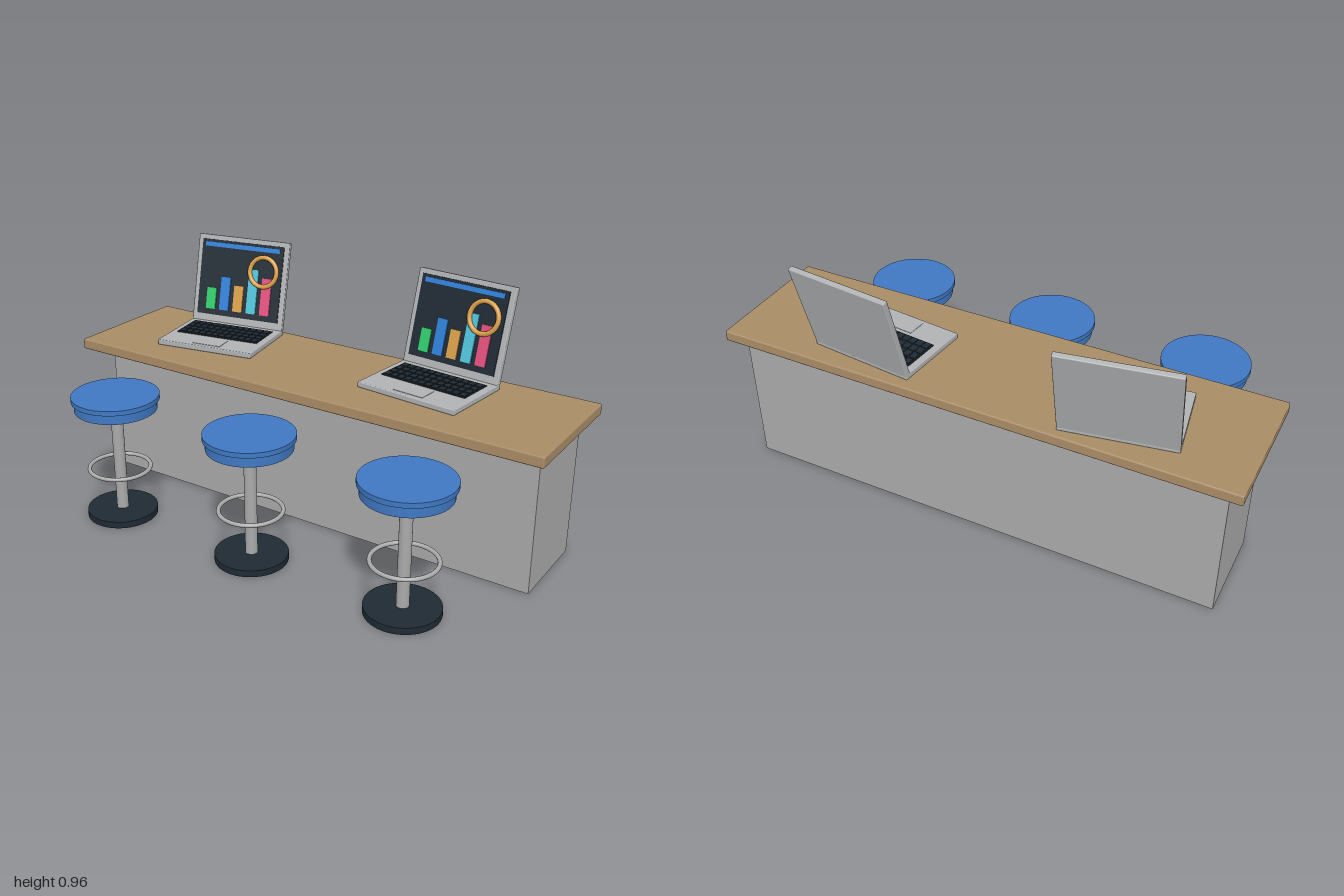
import * as THREE from 'three';
import { RoundedBoxGeometry } from 'three/addons/geometries/RoundedBoxGeometry.js';

const mat = (name, color) => {
  const m = new THREE.MeshStandardMaterial({ color });
  m.name = name;
  return m;
};

export function createModel() {
  const wood = mat('wood', 0xa98c66);
  const grey = mat('grey', 0xaaaaaa);
  const silver = mat('silver', 0xb0b2b4);
  const blue = mat('blue', 0x3f78c2);
  const dark = mat('dark navy', 0x1f2a33);
  const green = mat('green', 0x2fcc6b);
  const chartBlue = mat('chart blue', 0x2f80d8);
  const amber = mat('amber', 0xd99f48);
  const cyan = mat('cyan', 0x4fc3d9);
  const pink = mat('pink', 0xe34f7c);

  const add = (parent, name, geo, material, x = 0, y = 0, z = 0) => {
    const m = new THREE.Mesh(geo, material);
    m.name = name;
    m.position.set(x, y, z);
    parent.add(m);
    return m;
  };
  const box = (w, h, d) => new THREE.BoxGeometry(w, h, d);
  const round = (w, h, d, r) => new RoundedBoxGeometry(w, h, d, 2, r);
  const disc = (r, h, n = 48) => new THREE.CylinderGeometry(r, r, h, n);

  const model = new THREE.Group();
  model.name = 'laptopBar';

  // Counter: solid body with an overhanging top
  add(model, 'counterBody', box(1.89, 0.55, 0.355), grey, 0, 0.275, -0.1975);
  add(model, 'counterTop', round(2, 0.042, 0.527, 0.006), wood, 0, 0.57, -0.1645);

  // Stools
  const makeStool = (x) => {
    const g = new THREE.Group();
    g.name = 'stool';
    g.position.set(x, 0, 0.317);
    add(g, 'stoolFoot', disc(0.137, 0.026), dark, 0, 0.013);
    add(g, 'stoolPole', disc(0.023, 0.43, 24), grey, 0, 0.24);
    const ring = add(g, 'footRing', new THREE.TorusGeometry(0.118, 0.008, 12, 48), grey, 0, 0.2);
    ring.rotation.x = Math.PI / 2;
    add(g, 'seatCushion', disc(0.158, 0.04), blue, 0, 0.468);
    add(g, 'seatTop', disc(0.168, 0.019), blue, 0, 0.4965);
    model.add(g);
  };
  [-0.632, 0, 0.632].forEach(makeStool);

  // Laptops
  const bars = [[green, 0.088], [chartBlue, 0.138], [amber, 0.108], [cyan, 0.183], [pink, 0.152]];
  const makeLaptop = (x, z, degrees) => {
    const g = new THREE.Group();
    g.name = 'laptop';
    g.position.set(x, 0.591, z);
    g.rotation.y = THREE.MathUtils.degToRad(degrees);
    add(g, 'laptopBase', round(0.415, 0.022, 0.31, 0.004), silver, 0, 0.011, 0);
    add(g, 'trackpad', box(0.125, 0.002, 0.075), silver, 0, 0.0225, 0.098);

    // Keyboard tray with rows of keys
    add(g, 'keyboard', box(0.36, 0.004, 0.15), dark, 0, 0.0235, -0.032);
    const cols = 12, rows = 4;
    const keyGeo = box(0.025, 0.003, 0.03);
    for (let r = 0; r < rows; r++)
      for (let c = 0; c < cols; c++)
        add(g, 'key', keyGeo, dark, (c - (cols - 1) / 2) * 0.0295, 0.027, -0.032 + (r - 1.5) * 0.036);

    // Lid leans back from the hinge; its front face is at z = 0.011
    const lid = new THREE.Group();
    lid.name = 'lid';
    lid.position.set(0, 0.014, -0.144);
    lid.rotation.x = THREE.MathUtils.degToRad(-14.5);
    g.add(lid);
    add(lid, 'lidShell', round(0.415, 0.365, 0.022, 0.004), silver, 0, 0.1825, 0);
    add(lid, 'screen', box(0.372, 0.312, 0.004), dark, 0, 0.19, 0.0125);
    add(lid, 'headerBar', box(0.34, 0.018, 0.004), chartBlue, 0, 0.326, 0.0155);
    bars.forEach(([m, h], i) =>
      add(lid, 'chartBar', box(0.043, h, 0.005), m, (i - 2) * 0.062, 0.058 + h / 2, 0.016));
    add(lid, 'chartRing', new THREE.TorusGeometry(0.06, 0.0095, 12, 40), amber, 0.105, 0.235, 0.021);
    model.add(g);
  };
  makeLaptop(-0.524, -0.208, 10);
  makeLaptop(0.424, -0.21, -6);

  return model;
}
